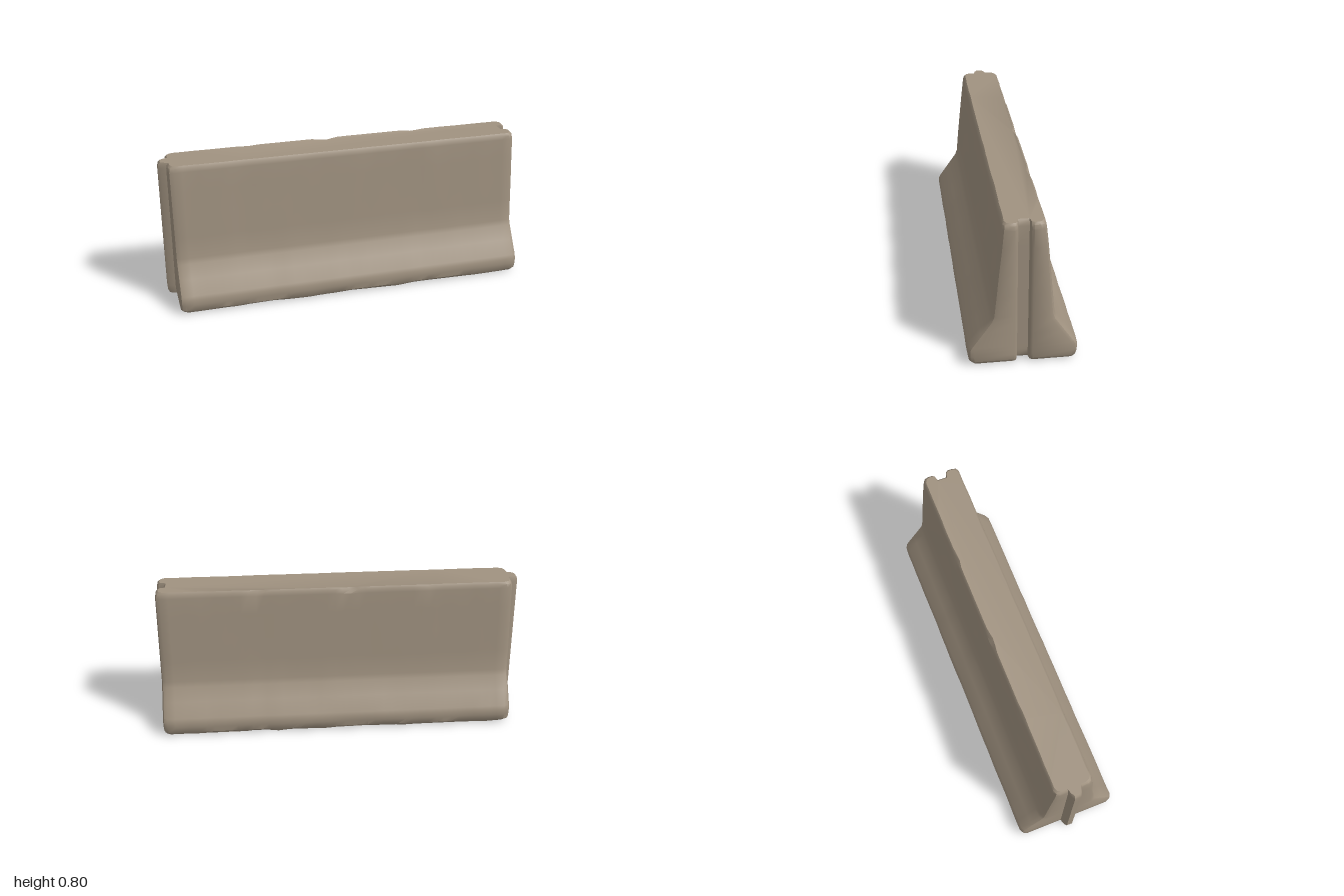
import * as THREE from 'three';
import { toCreasedNormals } from 'three/addons/utils/BufferGeometryUtils.js';

// Smooth seeded value noise in [-1, 1]
function hash(i, j, k) {
  const s = Math.sin(i * 127.1 + j * 311.7 + k * 74.7) * 43758.5453;
  return (s - Math.floor(s)) * 2 - 1;
}
function noise(x, y, k) {
  const i = Math.floor(x), j = Math.floor(y);
  const u = THREE.MathUtils.smoothstep(x - i, 0, 1);
  const v = THREE.MathUtils.smoothstep(y - j, 0, 1);
  const { lerp } = THREE.MathUtils;
  return lerp(
    lerp(hash(i, j, k), hash(i + 1, j, k), u),
    lerp(hash(i, j + 1, k), hash(i + 1, j + 1, k), u), v);
}

// Height, half thickness, end inset and wear for each level
const levels = [
  [0.006, 0.262, 0.012, 0.006],
  [0.022, 0.275, 0.002, 0.004],
  [0.055, 0.278, 0, 0.003],
  [0.085, 0.277, 0, 0.003],
  [0.105, 0.267, 0, 0.003],
  [0.18, 0.216, 0, 0.003],
  [0.25, 0.168, 0, 0.002],
  [0.28, 0.157, 0, 0.002],
  [0.40, 0.145, 0, 0.002],
  [0.53, 0.132, 0, 0.002],
  [0.66, 0.119, 0, 0.002],
  [0.765, 0.109, 0, 0.002],
  [0.787, 0.106, 0.004, 0.003],
  [0.798, 0.097, 0.014, 0.003],
];

// Chips along the top rear edge: centre x, radius, depth
const chips = [[-0.06, 0.07, 0.012], [0.45, 0.05, 0.01], [-0.5, 0.04, 0.006]];

// Plan outline: tongue at -x, groove at +x, mirrored front to back
function outline(w, inset) {
  const half = [[-1, 0.016], [-0.985, 0.027], [-0.957, 0.036], [-0.957, w - 0.03], [-0.948, w - 0.01]];
  const steps = 44;
  for (let i = 0; i <= steps; i++) half.push([-0.925 + (1.89 * i) / steps, w]);
  half.push([0.984, w - 0.01], [0.991, w - 0.03], [0.991, 0.046], [0.982, 0.034], [0.953, 0.027]);
  const back = half.map(([x, z]) => [x, -z]).reverse();
  return [...half, ...back].map(([x, z]) => [x - Math.sign(x) * inset, z]);
}

function bodyGeometry() {
  const positions = [], index = [];
  let count = 0;
  levels.forEach(([y, w, inset, wear], l) => {
    const ring = outline(w, inset);
    count = ring.length;
    for (const [x, z] of ring) {
      const side = Math.sign(z);
      const onFace = Math.abs(z) > w - 0.02;
      let dz = 0, dy = 0;
      if (onFace) {
        dz = -side * wear * Math.abs(noise(x * 7, y * 8, side + 3)) * 1.4;
        if (l === 0) dy = 0.006 * noise(x * 11, 0, side + 9);
        if (l >= levels.length - 2 && side < 0) {
          for (const [cx, r, depth] of chips) {
            const d = Math.max(0, 1 - Math.abs(x - cx) / r);
            dz += d * depth;
            dy -= d * depth * 0.6;
          }
        }
      }
      positions.push(x, y + dy, z + dz);
    }
  });

  // Sides
  for (let l = 0; l < levels.length - 1; l++) {
    for (let i = 0; i < count; i++) {
      const j = (i + 1) % count;
      const a = l * count + i, b = l * count + j;
      index.push(a, b, b + count, a, b + count, a + count);
    }
  }

  // Top and underside
  const cap = (l, up) => {
    const base = l * count;
    const pts = [];
    for (let i = 0; i < count; i++) {
      const p = (base + i) * 3;
      pts.push(new THREE.Vector2(positions[p], -positions[p + 2]));
    }
    for (const [a, b, c] of THREE.ShapeUtils.triangulateShape(pts, [])) {
      if (up) index.push(base + a, base + b, base + c);
      else index.push(base + a, base + c, base + b);
    }
  };
  cap(0, false);
  cap(levels.length - 1, true);

  const geometry = new THREE.BufferGeometry();
  geometry.setAttribute('position', new THREE.Float32BufferAttribute(positions, 3));
  geometry.setIndex(index);
  return toCreasedNormals(geometry, 0.65);
}

export function createModel() {
  const concrete = new THREE.MeshStandardMaterial({ color: 0xa09280 });
  concrete.name = 'concrete';

  const group = new THREE.Group();
  group.name = 'concreteBarrier';

  const body = new THREE.Mesh(bodyGeometry(), concrete);
  body.name = 'barrierBody';
  group.add(body);
  return group;
}
